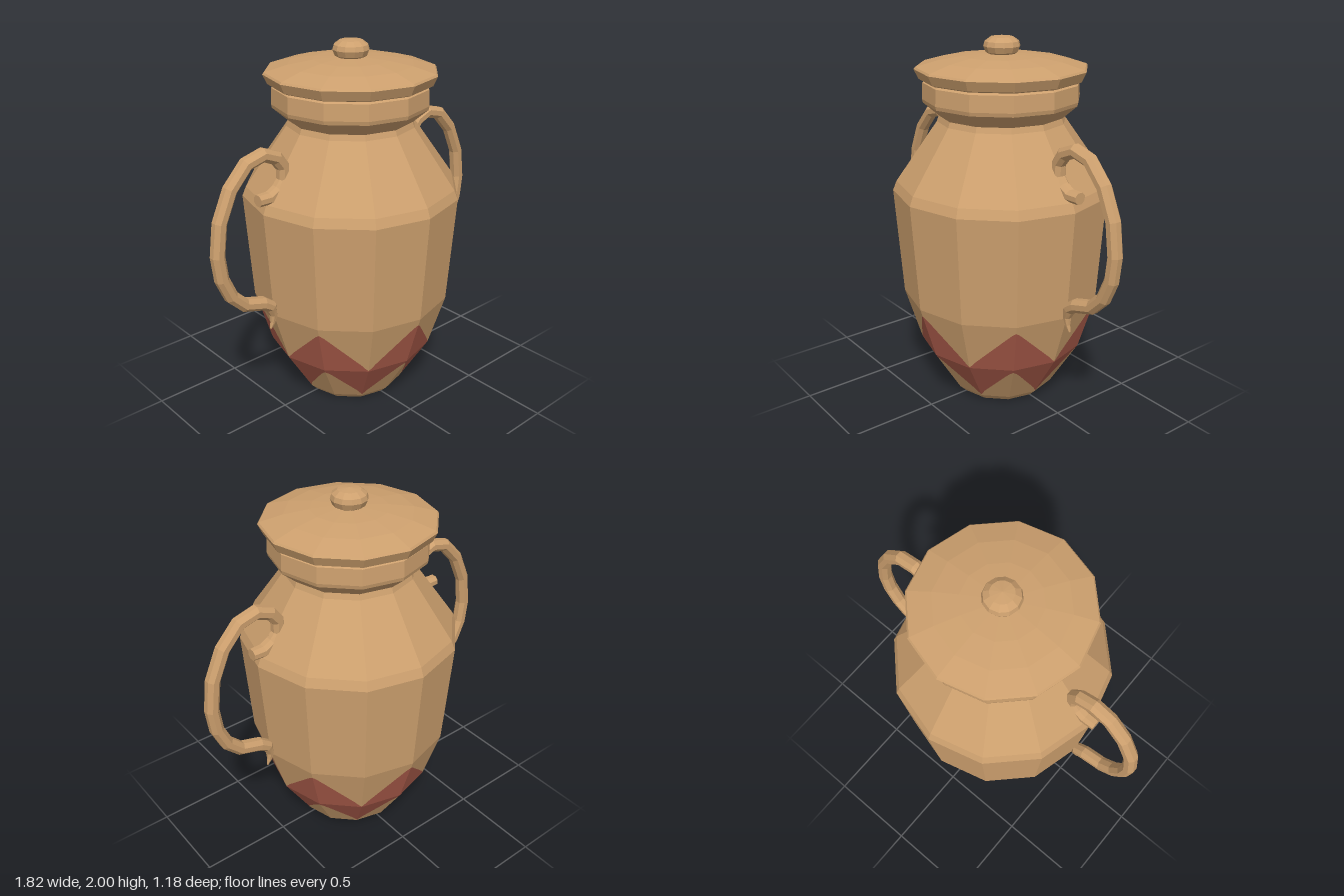
import * as THREE from 'three';

const SIDES = 12;

// Non-indexed normals give every facet its own flat shade.
function faceted(geometry) {
  const g = geometry.index ? geometry.toNonIndexed() : geometry;
  g.computeVertexNormals();
  return g;
}

function named(name, geometry, material) {
  const m = new THREE.Mesh(faceted(geometry), material);
  m.name = name;
  return m;
}

const turned = (profile) =>
  new THREE.LatheGeometry(profile.map(([r, y]) => new THREE.Vector2(r, y)), SIDES);

// Geometry from a grid of rows of points, rows running upward.
function gridGeometry(rows) {
  const pos = [];
  for (let j = 0; j < rows.length - 1; j++) {
    for (let i = 0; i < rows[j].length - 1; i++) {
      const a = rows[j][i], b = rows[j][i + 1], c = rows[j + 1][i + 1], d = rows[j + 1][i];
      for (const p of [a, b, c, a, c, d]) pos.push(p.x, p.y, p.z);
    }
  }
  const g = new THREE.BufferGeometry();
  g.setAttribute('position', new THREE.Float32BufferAttribute(pos, 3));
  return g;
}

// Lower wall of the jar: straight panels whose radius follows the height.
const wall = [[0.30, 0.04], [0.46, 0.30], [0.55, 0.60]];
function wallRadius(y) {
  const [a, b] = y <= wall[1][1] ? [wall[0], wall[1]] : [wall[1], wall[2]];
  return THREE.MathUtils.mapLinear(y, a[1], b[1], a[0], b[0]);
}

// One ring around the wall; height(w) has w = 0 at even corners and 1 at odd ones.
const STEPS = [0, 0.08, 0.16, 0.84, 0.92, 1];
function wallRow(height) {
  const row = [];
  for (let k = 0; k < SIDES; k++) {
    const a = (k / SIDES) * Math.PI * 2, b = ((k + 1) / SIDES) * Math.PI * 2;
    for (const t of STEPS) {
      const y = height(k % 2 ? 1 - t : t), r = wallRadius(y);
      row.push(new THREE.Vector3(
        r * THREE.MathUtils.lerp(Math.sin(a), Math.sin(b), t), y,
        r * THREE.MathUtils.lerp(Math.cos(a), Math.cos(b), t)));
    }
  }
  return row;
}

// Straight zigzag slope with slightly rounded tips.
function slope(w) {
  if (w < 0.16) return 1.6 * w * w + 0.72 * w;
  if (w > 0.84) return 1 - slope(1 - w);
  return THREE.MathUtils.mapLinear(w, 0.16, 0.84, slope(0.159999), 1 - slope(0.159999));
}

// Tapering octagonal sweep along a path in the xy plane; points are [x, y, radius].
function sweep(points) {
  const N = 8;
  const rows = points.map(([x, y, r], i) => {
    const p = points[Math.max(i - 1, 0)], q = points[Math.min(i + 1, points.length - 1)];
    const t = new THREE.Vector2(q[0] - p[0], q[1] - p[1]).normalize();
    return Array.from({ length: N + 1 }, (_, k) => {
      const a = ((k + 0.5) / N) * Math.PI * 2;
      const u = Math.cos(a) * r, v = Math.sin(a) * r * 1.06;
      return new THREE.Vector3(x - t.y * u, y + t.x * u, v);
    });
  });
  // Close both ends at their centre points
  const cap = ([x, y]) => Array.from({ length: N + 1 }, () => new THREE.Vector3(x, y, 0));
  rows.unshift(cap(points[0]));
  rows.push(cap(points[points.length - 1]));
  rows.forEach((row) => row.reverse());
  return gridGeometry(rows.reverse());
}

export function createModel() {
  const clay = new THREE.MeshStandardMaterial({ color: 0xcda06e });
  clay.name = 'tan clay';
  const paint = new THREE.MeshStandardMaterial({ color: 0xa85a49 });
  paint.name = 'red paint';

  const model = new THREE.Group();
  model.name = 'lidded jar';

  // Rings that bound the painted zigzag
  const bottom = wallRow(() => 0.04);
  const lowZigzag = wallRow((w) => 0.28 - 0.23 * slope(w));
  const waist = wallRow(() => 0.30);
  const highZigzag = wallRow((w) => 0.56 - 0.255 * slope(w));
  const top = wallRow(() => 0.60);

  model.add(
    named('base', turned([[0, 0], [0.26, 0], [0.30, 0.04]]), clay),
    named('lowerWall', gridGeometry([bottom, lowZigzag]), clay),
    named('zigzagBand', gridGeometry([lowZigzag, waist, highZigzag]), paint),
    named('middleWall', gridGeometry([highZigzag, top]), clay),
    named('upperBody', turned([[0.55, 0.60], [0.59, 1.19], [0.57, 1.24], [0.345, 1.56], [0.335, 1.59]]), clay),
    named('rim', turned([[0.335, 1.59], [0.415, 1.66], [0.42, 1.68], [0.415, 1.765], [0.40, 1.772], [0.36, 1.772]]), clay),
    named('lid', turned([[0.36, 1.765], [0.37, 1.785], [0.42, 1.778], [0.435, 1.785], [0.458, 1.835],
      [0.45, 1.845], [0.33, 1.878], [0.20, 1.898], [0, 1.912]]), clay),
    named('knob', turned([[0.06, 1.90], [0.085, 1.915], [0.097, 1.945], [0.09, 1.97], [0.06, 1.992], [0, 2]]), clay),
  );

  // Handle: curled tip at the shoulder, big loop, pointed tail at the wall
  const path = [
    [0.62, 1.275, 0.032], [0.55, 1.275, 0.035], [0.495, 1.305, 0.035], [0.46, 1.35, 0.035],
    [0.46, 1.42, 0.036], [0.50, 1.475, 0.038], [0.58, 1.508, 0.038], [0.68, 1.482, 0.038],
    [0.78, 1.375, 0.038], [0.85, 1.22, 0.038], [0.873, 1.05, 0.038], [0.858, 0.92, 0.038],
    [0.81, 0.81, 0.038], [0.735, 0.735, 0.038], [0.62, 0.70, 0.038], [0.57, 0.665, 0.035],
    [0.553, 0.61, 0.023], [0.56, 0.565, 0.014], [0.575, 0.53, 0.005],
  ];
  const handleGeometry = sweep(path);
  for (const [name, turn] of [['leftHandle', 0], ['rightHandle', Math.PI]]) {
    const handle = named(name, handleGeometry, clay);
    handle.rotation.y = turn;
    model.add(handle);
  }

  return model;
}
